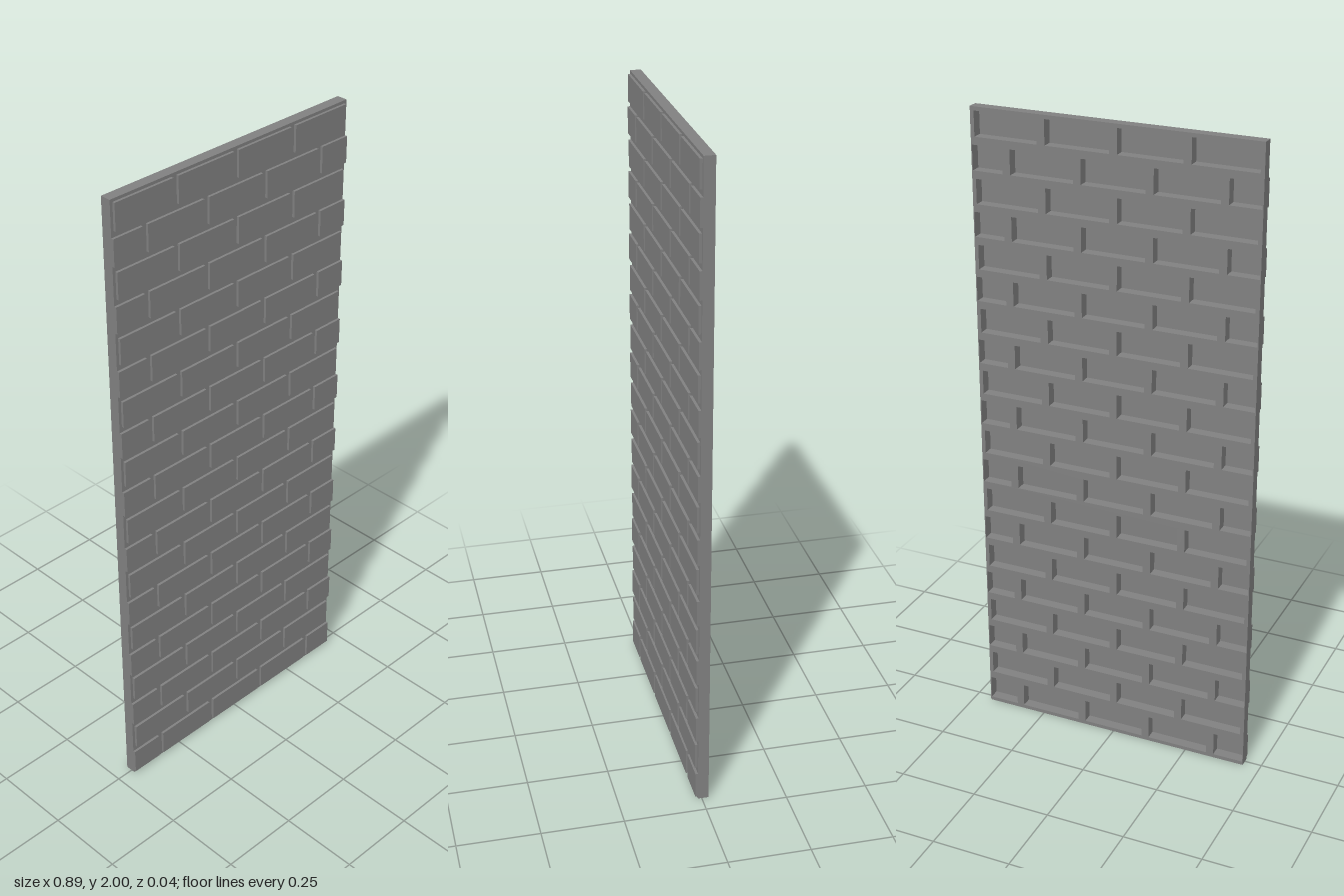
import * as THREE from 'three';

const WIDTH = 0.89, HEIGHT = 2, ROWS = 20, COLUMNS = 4;
const JOINT = 0.018;             // gap between bricks
const BACK = -0.021, STEP = 0.012, FRONT = 0.02;
const LIP = 0.003;               // how far a brick overlaps the lattice

// Rectangles of all bricks, in running bond; alternate rows end flush with the sides
function brickLayout() {
  const bricks = [];
  const rowH = HEIGHT / ROWS, pitch = WIDTH / COLUMNS, half = WIDTH / 2;
  for (let r = 0; r < ROWS; r++) {
    const shifted = r % 2 === 0;
    const count = shifted ? COLUMNS + 1 : COLUMNS;
    for (let c = 0; c < count; c++) {
      const start = -half + (c - (shifted ? 0.5 : 0)) * pitch;
      bricks.push({
        x0: Math.max(start + JOINT / 2, -half),
        x1: Math.min(start + pitch - JOINT / 2, half),
        y0: r * rowH + JOINT / 2,
        y1: (r + 1) * rowH - JOINT / 2,
      });
    }
  }
  return bricks;
}

function rectangle(path, x0, y0, x1, y1) {
  path.moveTo(x0, y0);
  path.lineTo(x1, y0);
  path.lineTo(x1, y1);
  path.lineTo(x0, y1);
  path.closePath();
  return path;
}

export function createModel() {
  const group = new THREE.Group();
  group.name = 'brickWallPanel';
  const stone = new THREE.MeshStandardMaterial({ color: 0x808080 });
  stone.name = 'stoneGrey';
  const bricks = brickLayout();

  // Mortar lattice: deep ribs with an open pocket behind every brick
  const outline = rectangle(new THREE.Shape(), -WIDTH / 2, 0, WIDTH / 2, HEIGHT);
  for (const b of bricks) {
    outline.holes.push(rectangle(new THREE.Path(), b.x0 + LIP, b.y0 + LIP, b.x1 - LIP, b.y1 - LIP));
  }
  const latticeGeometry = new THREE.ExtrudeGeometry(outline, { depth: STEP - BACK, bevelEnabled: false });
  latticeGeometry.translate(0, 0, BACK);
  const lattice = new THREE.Mesh(latticeGeometry, stone);
  lattice.name = 'mortarLattice';
  group.add(lattice);

  // Brick faces standing proud of the lattice
  const brickFaces = new THREE.Group();
  brickFaces.name = 'brickFaces';
  for (const b of bricks) {
    const brick = new THREE.Mesh(new THREE.BoxGeometry(b.x1 - b.x0, b.y1 - b.y0, FRONT - STEP), stone);
    brick.position.set((b.x0 + b.x1) / 2, (b.y0 + b.y1) / 2, (STEP + FRONT) / 2);
    brick.name = 'brick';
    brickFaces.add(brick);
  }
  group.add(brickFaces);
  return group;
}
